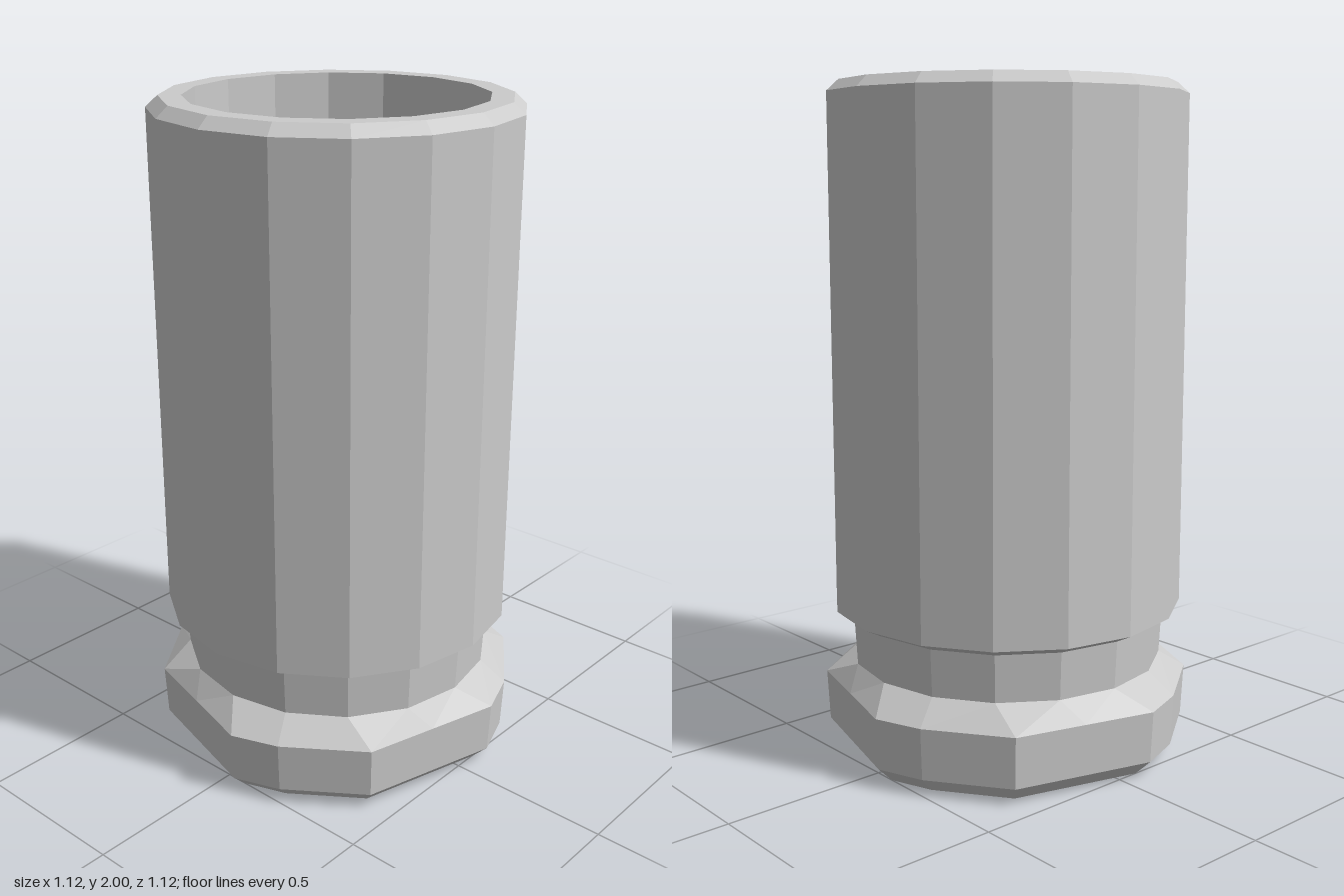
import * as THREE from 'three';

const SIDES = 16;
const material = new THREE.MeshStandardMaterial({ color: 0xcccccc, flatShading: true });

// Regular ring of points
function ring(r, y) {
  return Array.from({ length: SIDES }, (_, i) => {
    const a = (i / SIDES) * Math.PI * 2;
    return new THREE.Vector3(r * Math.sin(a), y, -r * Math.cos(a));
  });
}

// Uneven ring with four-fold symmetry: three corners per quarter and one
// point in the middle of the widest side
function unevenRing(scale, y) {
  const corner = (deg, r) => {
    const a = THREE.MathUtils.degToRad(deg);
    return new THREE.Vector3(r * scale * Math.sin(a), y, -r * scale * Math.cos(a));
  };
  const points = [];
  for (let q = 0; q < 4; q++) {
    const a = corner(q * 90 - 7.6, 0.565);
    const b = corner(q * 90 + 38.5, 0.562);
    const c = corner(q * 90 + 67, 0.553);
    points.push(a, a.clone().lerp(b, 0.5), b, c);
  }
  return points;
}

// Joins successive rings with quads
function loft(name, rings) {
  const positions = [];
  const indices = [];
  rings.forEach((points) => points.forEach((p) => positions.push(p.x, p.y, p.z)));
  for (let j = 0; j < rings.length - 1; j++) {
    for (let i = 0; i < SIDES; i++) {
      const a = j * SIDES + i;
      const b = j * SIDES + ((i + 1) % SIDES);
      indices.push(a, a + SIDES, b, b, a + SIDES, b + SIDES);
    }
  }
  const geometry = new THREE.BufferGeometry();
  geometry.setAttribute('position', new THREE.Float32BufferAttribute(positions, 3));
  geometry.setIndex(indices);
  geometry.computeVertexNormals();
  const mesh = new THREE.Mesh(geometry, material);
  mesh.name = name;
  return mesh;
}

export function createModel() {
  const group = new THREE.Group();
  group.name = 'casing';

  // Closed base with a bevelled foot and a sloped shoulder
  group.add(loft('base', [
    ring(0, 0), unevenRing(0.893, 0), unevenRing(0.985, 0.05),
    unevenRing(1, 0.205), ring(0.475, 0.272),
  ]));

  // Recessed groove above the base
  group.add(loft('neck', [ring(0.475, 0.272), ring(0.483, 0.415)]));

  // Hollow body: outer wall, bevelled rim, inner wall and floor
  group.add(loft('body', [
    ring(0.483, 0.415), ring(0.535, 0.442), ring(0.535, 1.968), ring(0.5, 2),
    ring(0.435, 2), ring(0.435, 0.42), ring(0, 0.42),
  ]));

  return group;
}
